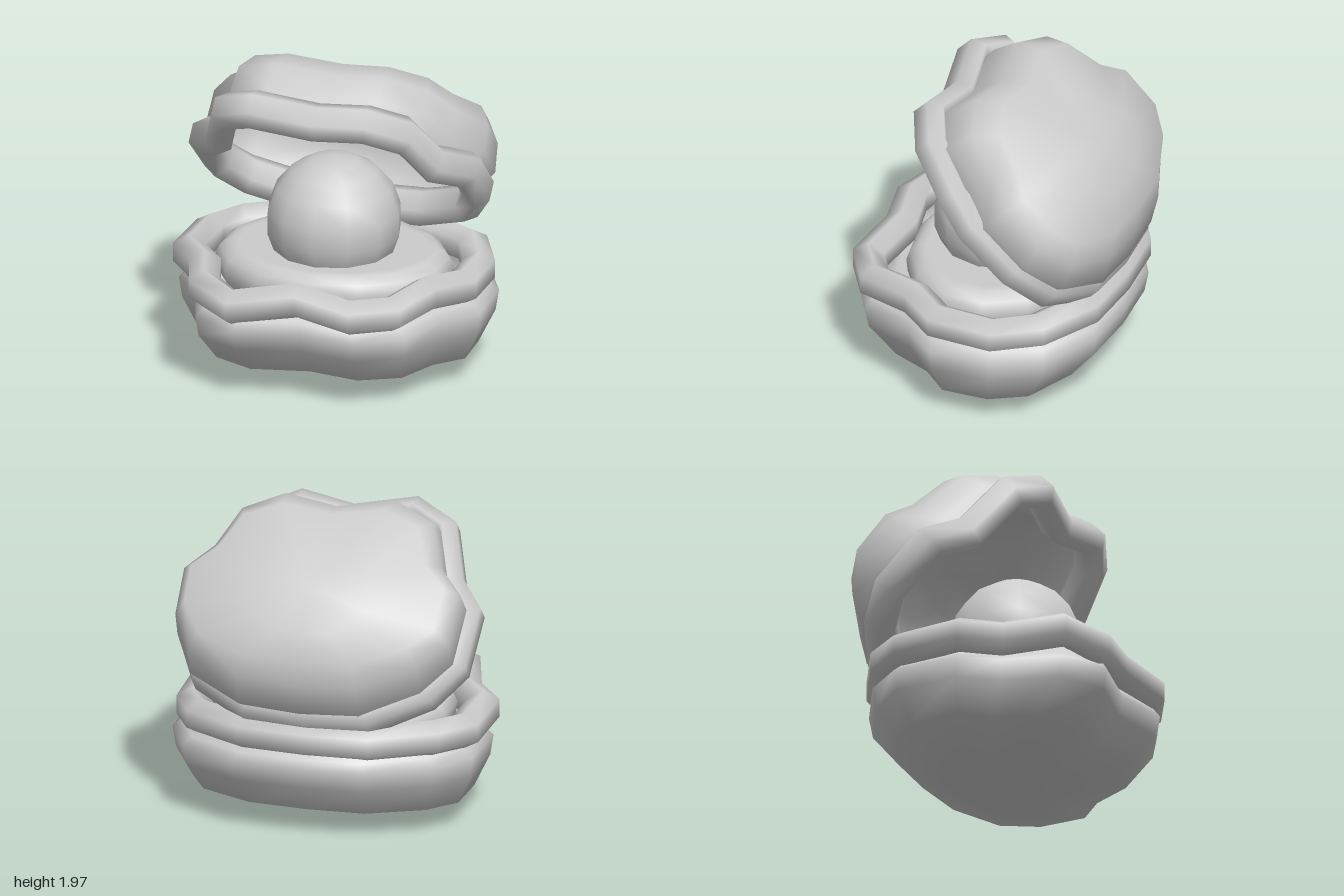
import * as THREE from 'three';
import { mergeVertices } from 'three/addons/utils/BufferGeometryUtils.js';

const material = new THREE.MeshStandardMaterial({ color: 0xcccccc, side: THREE.DoubleSide });

// Scalloped outer edge of a shell half, front centre first, towards +x:
// [x, z, lower lip height, upper lip height]
const OUTLINE = [
  [0, 0.79, 0.685, 0.65], [0.37, 0.86, 0.64, 0.65], [0.65, 0.69, 0.64, 0.64], [0.78, 0.34, 0.66, 0.68],
  [0.96, 0.11, 0.65, 0.61], [0.95, -0.3, 0.63, 0.6], [0.8, -0.6, 0.66, 0.61], [0.42, -0.8, 0.66, 0.61],
  [0, -0.83, 0.66, 0.61], [-0.42, -0.8, 0.66, 0.61], [-0.81, -0.57, 0.66, 0.61], [-0.99, -0.32, 0.65, 0.6],
  [-1, 0.12, 0.66, 0.61], [-0.82, 0.35, 0.66, 0.68], [-0.7, 0.73, 0.69, 0.64], [-0.41, 0.89, 0.63, 0.65],
];
const N = OUTLINE.length;

// Per half: lip column, lip half width and half height, and the bowl profile
// from rim to base as [x scale, z scale, height, extra height off the ridge, z shift]
const LOWER = {
  lip: 2, width: 0.1, height: 0.115, flip: false,
  profile: [
    [0.87, 0.87, 0.6, 0, 0.02], [0.93, 0.93, 0.54, 0, 0.02], [0.995, 0.97, 0.49, 0, 0.02],
    [0.975, 0.94, 0.36, 0, 0.02], [0.88, 0.73, 0.16, 0, 0.03], [0.4, 0.36, 0.02, 0.06, 0.1],
    [0, 0, 0, 0, 0.1],
  ],
};
const UPPER = {
  lip: 3, width: 0.09, height: 0.135, flip: true,
  profile: [
    [0.88, 0.87, 0.6, 0, 0.02], [0.96, 0.9, 0.46, 0, 0.05], [0.95, 0.81, 0.28, 0, 0.02],
    [0.87, 0.67, 0.15, 0, 0.03], [0.4, 0.36, 0.02, 0.06, 0.1], [0, 0, 0, 0, 0.1],
  ],
};

// Skin closed rings of points; wrap joins the last ring to the first
function loft(rings, wrap, flip) {
  const index = [];
  const count = rings.length;
  for (let j = 0; j < (wrap ? count : count - 1); j++) {
    for (let i = 0; i < N; i++) {
      const k = (i + 1) % N, j2 = (j + 1) % count;
      const a = j * N + i, b = j * N + k, c = j2 * N + k, d = j2 * N + i;
      if (flip) index.push(a, b, d, b, c, d);
      else index.push(a, d, b, b, d, c);
    }
  }
  let geometry = new THREE.BufferGeometry();
  geometry.setAttribute('position', new THREE.Float32BufferAttribute(rings.flat(2), 3));
  geometry.setIndex(index);
  if (flip) geometry.scale(0.95, -0.95, 0.95);
  geometry = mergeVertices(geometry);
  geometry.computeVertexNormals();
  return geometry;
}

// Bowl: scaled copies of the outline from the rim down to the base
function bowlRings({ profile }) {
  return profile.map(([sx, sz, y, rise, back]) => OUTLINE.map(([x, z]) => [
    x * sx + 0.027 * sx, y + rise * Math.abs(z), z * sz - back,
  ]));
}

// Rolled lip: six-sided tube just inside the outline
function lipRings({ lip, width, height }) {
  const sides = 6;
  const normals = OUTLINE.map((p, i) => {
    const a = OUTLINE[(i + N - 1) % N], b = OUTLINE[(i + 1) % N];
    return new THREE.Vector2(a[1] - b[1], b[0] - a[0]).normalize();
  });
  const rings = [];
  for (let s = 0; s < sides; s++) {
    const t = ((s + 0.5) / sides) * Math.PI * 2;
    const offset = width * (1.15 * Math.cos(t) - 1);
    rings.push(OUTLINE.map((p, i) => [
      p[0] + normals[i].x * offset, p[lip] - height * Math.sin(t), p[1] + normals[i].y * offset,
    ]));
  }
  return rings;
}

function add(parent, name, geometry) {
  const mesh = new THREE.Mesh(geometry, material);
  mesh.name = name;
  parent.add(mesh);
  return mesh;
}

function shellHalf(name, spec) {
  const half = new THREE.Group();
  half.name = name;
  add(half, name + 'Bowl', loft(bowlRings(spec), false, spec.flip));
  add(half, name + 'Lip', loft(lipRings(spec), true, spec.flip));
  return half;
}

export function createModel() {
  const model = new THREE.Group();
  model.name = 'clam';

  // Lower half, and the upper half turned over and hinged open
  model.add(shellHalf('lowerShell', LOWER));
  const upper = shellHalf('upperShell', UPPER);
  upper.rotation.x = -0.764;
  upper.position.set(-0.01, 1.705, -0.597);
  model.add(upper);

  // Soft cushion inside the lower shell
  const profile = [[0.68, 0.5], [0.74, 0.6], [0.75, 0.68], [0.72, 0.74], [0.66, 0.785], [0.6, 0.79], [0, 0.79]]
    .map(([x, y]) => new THREE.Vector2(x, y));
  const cushion = add(model, 'cushion', new THREE.LatheGeometry(profile, 14));
  cushion.scale.z = 0.8;
  cushion.position.z = -0.02;

  // Pearl
  const pearl = add(model, 'pearl', new THREE.SphereGeometry(0.425, 12, 9));
  pearl.position.set(0.01, 0.97, 0.015);

  return model;
}
